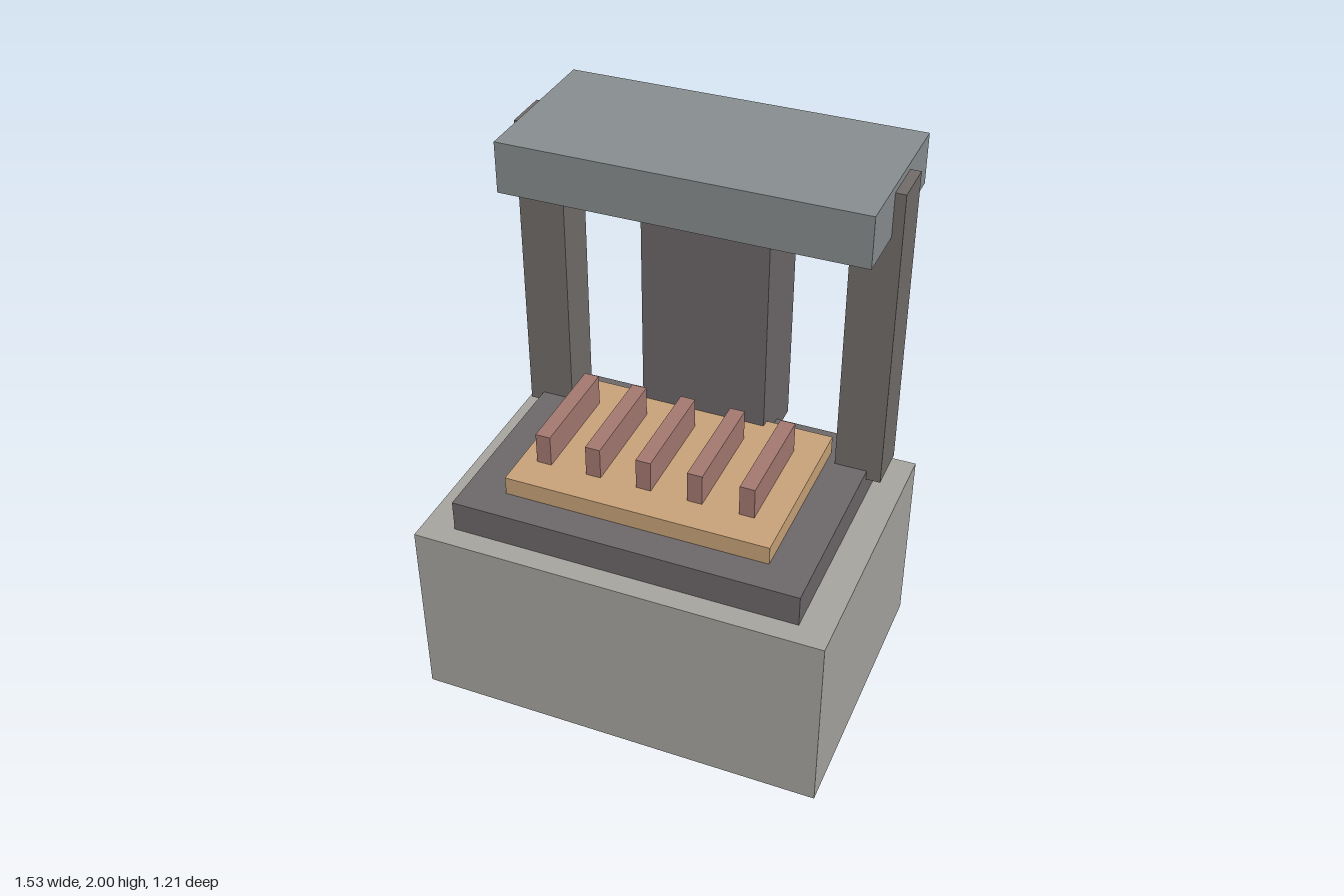
import * as THREE from 'three';

const material = (color) => new THREE.MeshStandardMaterial({ color, flatShading: true });

// Box given by its lower and upper limits on each axis
function block(name, mat, [x0, x1], [y0, y1], [z0, z1]) {
  const mesh = new THREE.Mesh(new THREE.BoxGeometry(x1 - x0, y1 - y0, z1 - z0), mat);
  mesh.position.set((x0 + x1) / 2, (y0 + y1) / 2, (z0 + z1) / 2);
  mesh.name = name;
  return mesh;
}

export function createModel() {
  const model = new THREE.Group();
  model.name = 'pressStand';

  const stone = material(0xa8a7a2);
  const iron = material(0x6e696b);
  const postGrey = material(0x736e6a);
  const steel = material(0x8a8f91);
  const wood = material(0xcba57a);
  const clay = material(0xa67a72);

  // Base, stepped plate and board
  model.add(block('base', stone, [-0.765, 0.765], [0, 0.72], [-0.47, 0.605]));
  model.add(block('plate', iron, [-0.647, 0.647], [0.72, 0.84], [-0.383, 0.523]));
  model.add(block('board', wood, [-0.495, 0.495], [0.84, 0.91], [-0.265, 0.403]));

  // Row of five ribs on the board
  const ribs = new THREE.Group();
  ribs.name = 'ribs';
  for (let i = 0; i < 5; i++) {
    const x = -0.404 + i * 0.192;
    ribs.add(block('rib', clay, [x - 0.028, x + 0.028], [0.91, 1.03], [-0.135, 0.275]));
  }
  model.add(ribs);

  // Rear column, side posts and the roof slab they carry
  model.add(block('rearColumn', iron, [-0.24, 0.24], [0.787, 1.88], [-0.515, -0.232]));
  for (const [name, x] of [['leftPost', 0.613], ['rightPost', -0.613]]) {
    model.add(block(name, postGrey, [x - 0.087, x + 0.087], [0.803, 1.973], [-0.381, -0.207]));
  }
  model.add(block('roof', steel, [-0.662, 0.662], [1.81, 2], [-0.606, 0.013]));

  return model;
}
